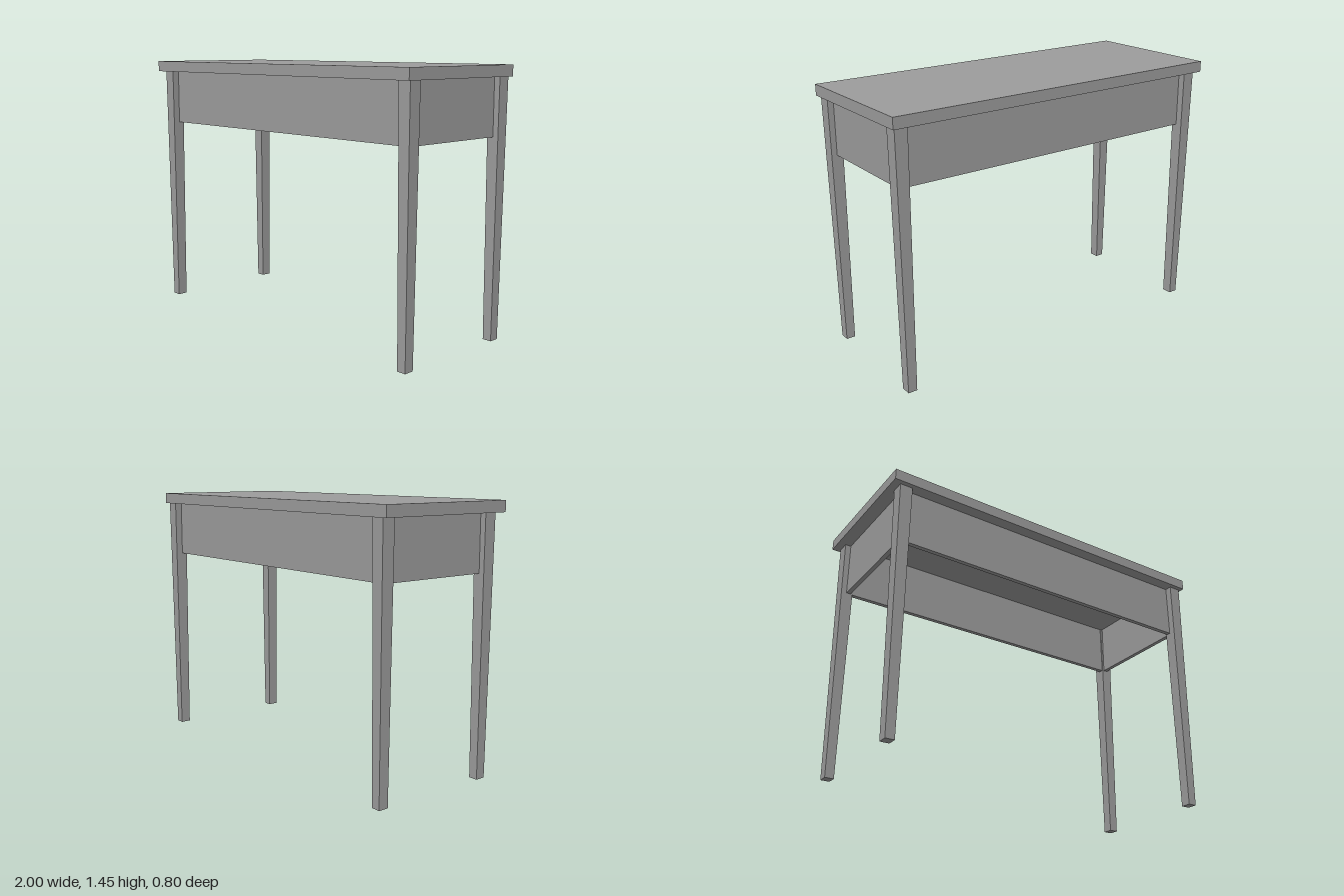
import * as THREE from 'three';

const material = new THREE.MeshStandardMaterial({ color: 0x9c9c9c, flatShading: true });

export function createModel() {
  const table = new THREE.Group();
  table.name = 'consoleTable';

  // Box given by its minimum and maximum corners
  function addBox(name, [x0, y0, z0], [x1, y1, z1]) {
    const mesh = new THREE.Mesh(new THREE.BoxGeometry(x1 - x0, y1 - y0, z1 - z0), material);
    mesh.position.set((x0 + x1) / 2, (y0 + y1) / 2, (z0 + z1) / 2);
    mesh.name = name;
    table.add(mesh);
    return mesh;
  }

  const top = 1.447;
  const underside = 1.387;
  const apronBottom = 1.081;
  const legTop = { x: 0.07, z: 0.072 };
  const legFoot = { x: 0.05, z: 0.056 };
  const legX = { left: 0.95, right: -0.923 };
  const legZ = { front: 0.338, back: -0.346 };

  // Tabletop
  addBox('tabletop', [-1, underside, -0.4], [1, top, 0.4]);

  // Four-sided legs, narrowing evenly towards the foot
  for (const [depth, z] of Object.entries(legZ)) {
    for (const [side, x] of Object.entries(legX)) {
      const leg = addBox(`${depth}${side === 'left' ? 'Left' : 'Right'}Leg`,
        [x - legTop.x / 2, 0, z - legTop.z / 2], [x + legTop.x / 2, underside, z + legTop.z / 2]);
      const p = leg.geometry.attributes.position;
      for (let i = 0; i < p.count; i++) {
        if (p.getY(i) > 0) continue;
        p.setX(i, p.getX(i) * legFoot.x / legTop.x);
        p.setZ(i, p.getZ(i) * legFoot.z / legTop.z);
      }
      leg.geometry.computeVertexNormals();
    }
  }

  // Thin apron boards between the legs, set back from their outer faces and open underneath
  const t = 0.0125;
  for (const [depth, legCentre] of Object.entries(legZ)) {
    const z = legCentre - Math.sign(legCentre) * 0.016;
    addBox(`${depth}Apron`, [legX.right, apronBottom, z - t], [legX.left, underside, z + t]);
  }
  for (const [side, legCentre] of Object.entries(legX)) {
    const x = legCentre - Math.sign(legCentre) * 0.01;
    addBox(`${side}Apron`, [x - t, apronBottom, legZ.back], [x + t, underside, legZ.front]);
  }

  return table;
}
